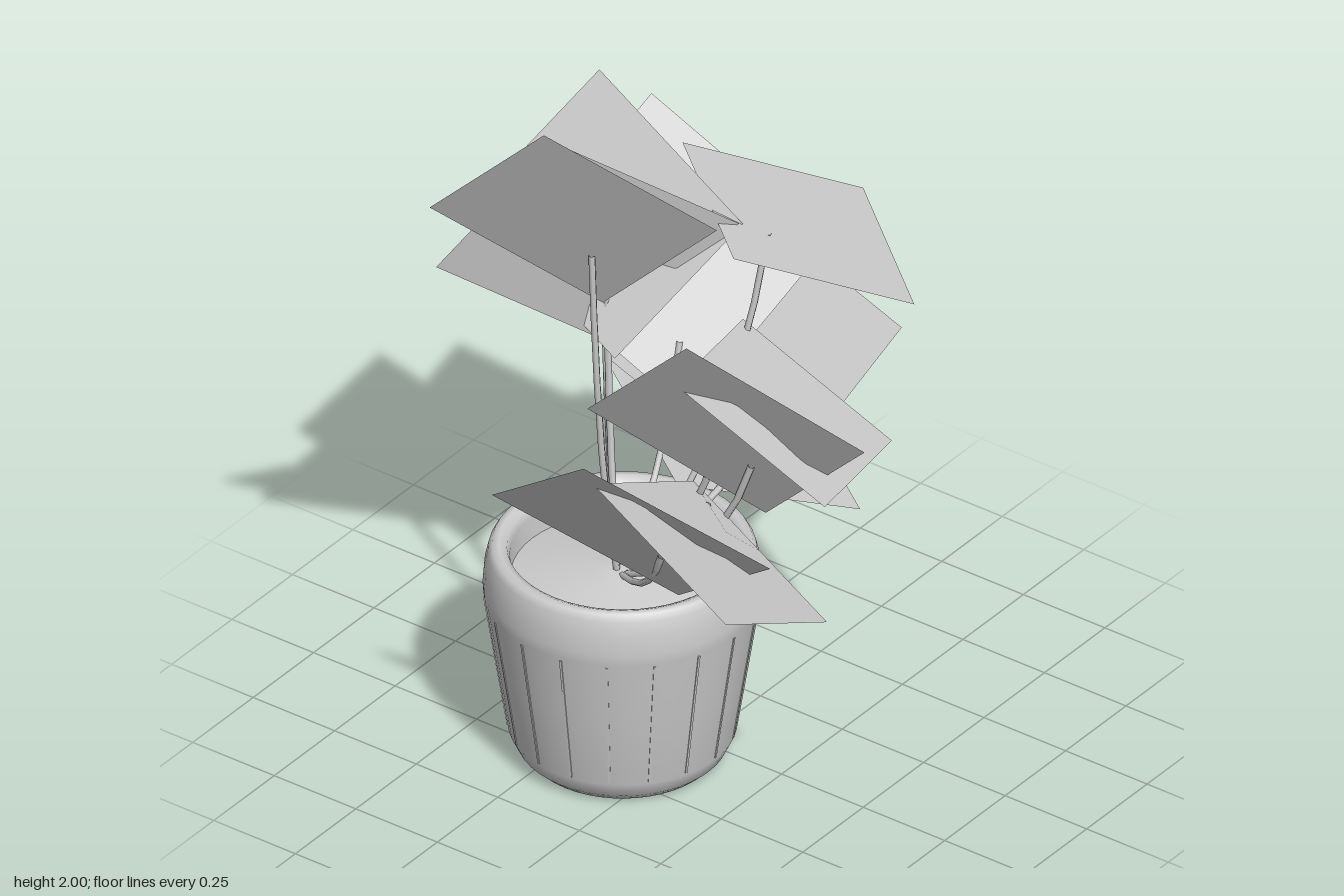
import * as THREE from 'three';

const V = (x, y, z) => new THREE.Vector3(x, y, z);
const POT_X = -0.132, POT_Z = -0.14, BULGE = 0.07;

// Each leaf: the corner nearest its stem, then the two neighbouring corners.
const LEAVES = [
  [[-0.2, 1.34, -0.15], [-0.2, 1.69, 0.2], [-0.49, 1.65, -0.466]],
  [[-0.03, 1.09, -0.22], [0.12, 1.475, 0.03], [-0.39, 1.4, -0.52]],
  [[-0.11, 1.115, -0.18], [0.13, 1.47, 0.035], [-0.07, 1.365, -0.65]],
  [[-0.01, 1.47, 0.11], [0.36, 1.25, 0.39], [0.298, 1.5, -0.275]],
  [[-0.33, 1.29, 0.17], [-0.29, 1.077, 0.597], [0.13, 1.19, 0.035]],
  [[-0.12, 0.85, 0.29], [-0.19, 1.204, 0.645], [-0.385, 1.16, -0.06]],
  [[-0.135, 0.87, 0.08], [-0.21, 0.675, 0.545], [-0.574, 1.1, 0.095]],
  [[-0.278, 0.632, 0.14], [-0.425, 0.94, 0.53], [-0.567, 0.94, -0.218]],
  [[0.14, 0.706, 0.12], [0.49, 1.06, 0.255], [0.235, 0.826, -0.458]],
  [[0.12, 0.856, -0.125], [0.5, 1.21, 0.022], [0.03, 1.162, -0.6]],
  [[0.008, 0.72, -0.075], [0.452, 0.505, 0.156], [0.265, 0.8, -0.49]],
];

// Upward normal of a leaf's plane
function leafNormal(p, a, b) {
  const n = a.clone().sub(p).cross(b.clone().sub(p)).normalize();
  return n.y < 0 ? n.negate() : n;
}

// Two-by-two leaf sheet whose middle point is lifted, shaded as one flat sheet
function leafGeometry(p, a, b) {
  const n = leafNormal(p, a, b);
  const u = a.clone().sub(p), v = b.clone().sub(p);
  const points = [], normals = [], index = [];
  for (let j = 0; j < 3; j++) {
    for (let i = 0; i < 3; i++) {
      const q = p.clone().addScaledVector(u, i / 2).addScaledVector(v, j / 2);
      if (i === 1 && j === 1) q.addScaledVector(n, BULGE);
      points.push(q);
      normals.push(n.x, n.y, n.z);
    }
  }
  const flip = u.cross(v).dot(n) < 0;
  for (const k of [0, 1, 3, 4]) {
    for (const [c, d, e] of [[k, k + 1, k + 4], [k, k + 4, k + 3]]) {
      index.push(c, flip ? e : d, flip ? d : e);
    }
  }
  const g = new THREE.BufferGeometry().setFromPoints(points);
  g.setAttribute('normal', new THREE.Float32BufferAttribute(normals, 3));
  g.setIndex(index);
  return g;
}

export function createModel() {
  const model = new THREE.Group();
  model.name = 'pottedPlant';
  const grey = new THREE.MeshStandardMaterial({ color: 0xcccccc, side: THREE.DoubleSide });
  grey.name = 'light grey';
  const add = (geometry, name, parent) => {
    const mesh = new THREE.Mesh(geometry, grey);
    mesh.name = name;
    parent.add(mesh);
    return mesh;
  };

  // Pot: rounded foot, tapered wall, rounded shoulder, rim and inner wall
  const pot = new THREE.Group();
  pot.name = 'pot';
  pot.position.set(POT_X, 0, POT_Z);
  model.add(pot);
  const profile = (points) => new THREE.LatheGeometry(points.map(([r, y]) => new THREE.Vector2(r, y)), 48);
  add(profile([
    [0, 0], [0.236, 0], [0.262, 0.025], [0.283, 0.07], [0.314, 0.27], [0.343, 0.46], [0.345, 0.49],
    [0.341, 0.54], [0.332, 0.58], [0.322, 0.598], [0.305, 0.6], [0.285, 0.59], [0.278, 0.565], [0.275, 0.48],
  ]), 'potWall', pot);

  // Gently mounded soil
  add(profile([[0.278, 0.505], [0.15, 0.53], [0, 0.55]]), 'soil', pot);

  // Fine upright ribs around the wall
  for (let i = 0; i < 18; i++) {
    const pivot = new THREE.Group();
    pivot.name = 'potRib';
    pivot.rotation.y = (i / 18) * Math.PI * 2;
    pot.add(pivot);
    const rib = add(new THREE.BoxGeometry(0.006, 0.38, 0.006), 'rib', pivot);
    rib.position.set(0, 0.265, 0.312);
    rib.rotation.x = 0.153;
  }

  // Leaves, each carried on a stem that spreads outward and then rises
  LEAVES.forEach((corners, i) => {
    const [p, a, b] = corners.map((c) => V(...c));
    add(leafGeometry(p, a, b), 'leaf' + (i + 1), model);
    const centre = a.clone().add(b).multiplyScalar(0.5);
    const end = p.clone().lerp(centre, 0.45).addScaledVector(leafNormal(p, a, b), BULGE * 0.42);
    const root = V(-0.16, 0.54, -0.13).lerp(V(end.x, 0.54, end.z), 0.08);
    const bend = root.clone().lerp(end, 0.72);
    bend.y = root.y + (end.y - root.y) * 0.28;
    const curve = new THREE.QuadraticBezierCurve3(root, bend, end);
    add(new THREE.TubeGeometry(curve, 5, 0.009, 6), 'stem' + (i + 1), model);
  });

  return model;
}
